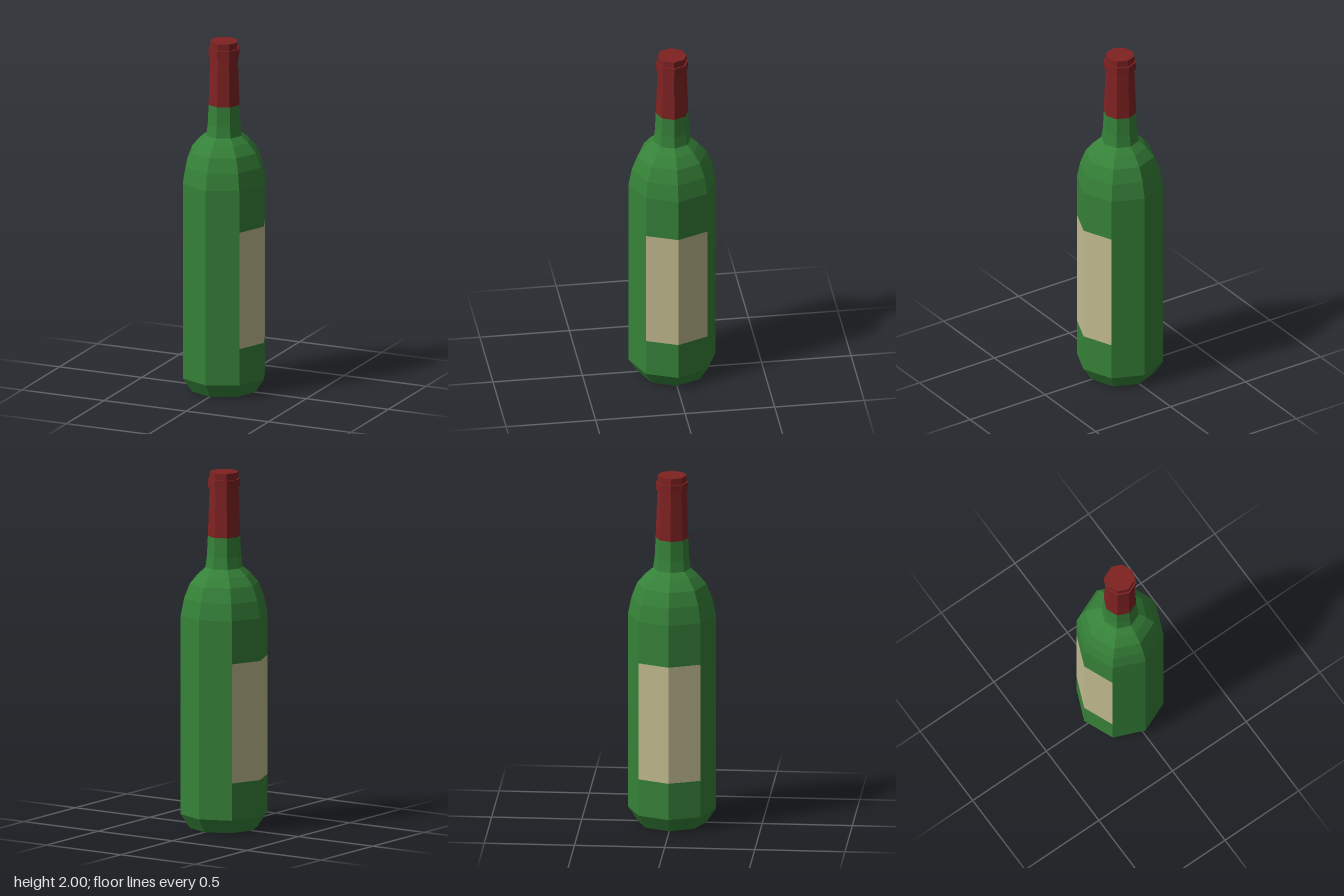
import * as THREE from 'three';

const SIDES = 8;
const mat = (color) => new THREE.MeshStandardMaterial({ color, flatShading: true });

export function createModel() {
  const bottle = new THREE.Group();
  bottle.name = 'bottle';
  const glass = mat(0x368239);
  const foil = mat(0x802222);
  const paper = mat(0xc2bb90);

  // Faceted ring of [radius, height] points, optionally only some of the sides
  const turn = (name, material, profile, first = 0, count = SIDES) => {
    const step = (Math.PI * 2) / SIDES;
    const points = profile.map(([r, y]) => new THREE.Vector2(r, y));
    const mesh = new THREE.Mesh(
      new THREE.LatheGeometry(points, count, first * step, count * step), material);
    mesh.name = name;
    bottle.add(mesh);
  };

  // Base with bevelled foot, up to the label
  turn('base', glass, [[0, 0], [0.19, 0], [0.243, 0.08], [0.243, 0.29]]);

  // Middle band: glass front and back, paper labels left and right
  const band = [[0.243, 0.29], [0.243, 0.96]];
  for (const [side, first] of [['left', 1], ['right', 5]]) {
    turn(`${side}Label`, paper, band, first, 2);
    turn(side === 'left' ? 'backGlass' : 'frontGlass', glass, band, first + 2, 2);
  }

  // Upper body, rounded shoulder and neck
  turn('shoulder', glass, [
    [0.243, 0.96], [0.243, 1.2], [0.224, 1.295], [0.193, 1.375], [0.148, 1.428], [0.105, 1.465],
  ]);
  turn('neck', glass, [[0.105, 1.465], [0.096, 1.53], [0.091, 1.64]]);

  // Foil wrap with its lip ring and closed top
  turn('foilCap', foil, [[0.091, 1.64], [0.081, 1.915], [0.081, 2], [0, 2]]);
  turn('lipRing', foil, [[0.08, 1.915], [0.09, 1.915], [0.09, 1.962], [0.08, 1.962]]);

  return bottle;
}
